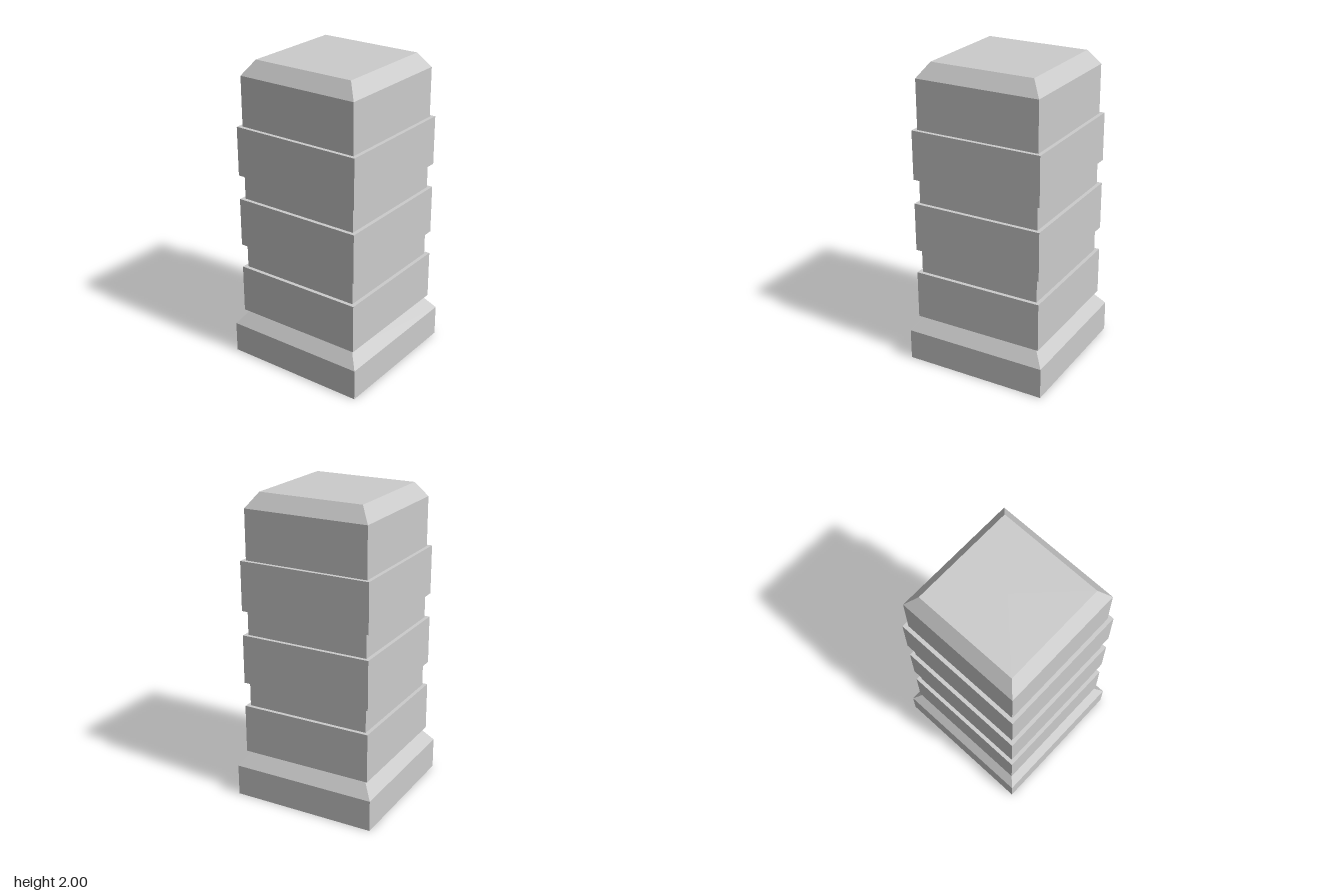
import * as THREE from 'three';

const SHAFT = 0.412, BAND = 0.437, BASE = 0.48;

export function createModel() {
  const group = new THREE.Group();
  group.name = 'squarePillar';
  const material = new THREE.MeshStandardMaterial({ color: 0xcccccc, flatShading: true });

  // Square section swept up a profile of [half width, height] points
  function addPart(name, profile) {
    const points = profile.map(([half, y]) => new THREE.Vector2(half * Math.SQRT2, y));
    const geometry = new THREE.LatheGeometry(points, 4, Math.PI / 4).toNonIndexed();
    geometry.computeVertexNormals();
    const mesh = new THREE.Mesh(geometry, material);
    mesh.name = name;
    group.add(mesh);
  }

  // Plinth with sloped shoulder
  addPart('base', [[0, 0], [BASE, 0], [BASE, 0.205], [0.405, 0.305]]);

  // Three raised bands, each followed by a stretch of the narrower shaft
  const bandHeight = 0.32, pitch = 0.48, capStart = 1.905;
  for (let i = 0; i < 3; i++) {
    const y0 = 0.305 + i * pitch;
    const y1 = y0 + bandHeight;
    const y2 = i < 2 ? y0 + pitch : capStart;
    addPart(`band${i + 1}`, [[i ? SHAFT : 0.405, y0], [BAND, y0], [BAND, y1], [SHAFT, y1]]);
    addPart(`shaft${i + 1}`, [[SHAFT, y1], [SHAFT, y2]]);
  }

  // Bevelled flat top
  addPart('cap', [[SHAFT, capStart], [0.345, 2], [0, 2]]);

  return group;
}
